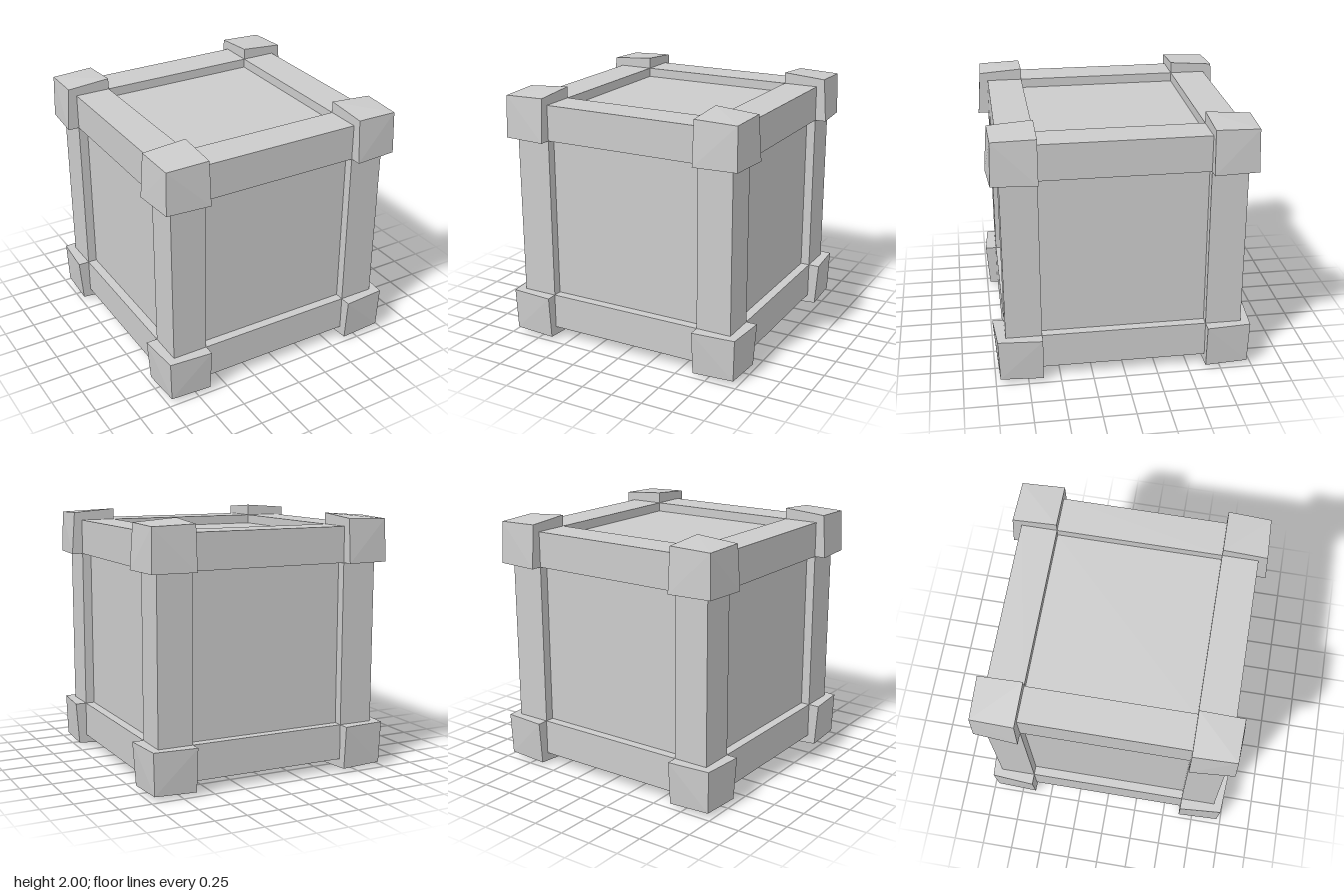
import * as THREE from 'three';
import { ConvexGeometry } from 'three/addons/geometries/ConvexGeometry.js';

const INNER = 0.635;  // inner edge of beams and corner caps
const FRAME = 0.912;  // outer face of the beams
const PANEL = 0.84;   // outer face of the recessed panels
const CAP = [INNER, 1, 0.975, 0.965]; // cap reach for vertices with 1, 2 or 3 outer sides

const material = new THREE.MeshStandardMaterial({ color: 0xcccccc, flatShading: true });

function addMesh(parent, name, geometry) {
  const mesh = new THREE.Mesh(geometry, material);
  mesh.name = name;
  parent.add(mesh);
  return mesh;
}

// Corner cap: a cube whose outer faces taper toward the outermost corner
function capGeometry(sx, sy, sz) {
  const points = [];
  for (const x of [0, 1]) for (const y of [0, 1]) for (const z of [0, 1]) {
    const reach = CAP[x + y + z];
    points.push(new THREE.Vector3(
      sx * (x ? reach : INNER),
      sy * (y ? reach : INNER),
      sz * (z ? reach : INNER)));
  }
  return new ConvexGeometry(points);
}

export function createModel() {
  const model = new THREE.Group();
  model.name = 'crate';
  const body = new THREE.Group();
  body.name = 'crateBody';
  body.position.y = 1;
  model.add(body);

  // Recessed side panels
  addMesh(body, 'panels', new THREE.BoxGeometry(2 * PANEL, 2 * PANEL, 2 * PANEL));

  // Twelve edge beams, four along each axis
  const width = FRAME - INNER, mid = (FRAME + INNER) / 2;
  ['x', 'y', 'z'].forEach((axis, i, axes) => {
    const size = [width, width, width];
    size[i] = 2 * INNER;
    for (const a of [-1, 1]) for (const b of [-1, 1]) {
      const beam = addMesh(body, axis + 'Beam', new THREE.BoxGeometry(...size));
      beam.position[axes[(i + 1) % 3]] = a * mid;
      beam.position[axes[(i + 2) % 3]] = b * mid;
    }
  });

  // Eight corner caps
  for (const sx of [-1, 1]) for (const sy of [-1, 1]) for (const sz of [-1, 1])
    addMesh(body, 'cornerCap', capGeometry(sx, sy, sz));

  return model;
}
